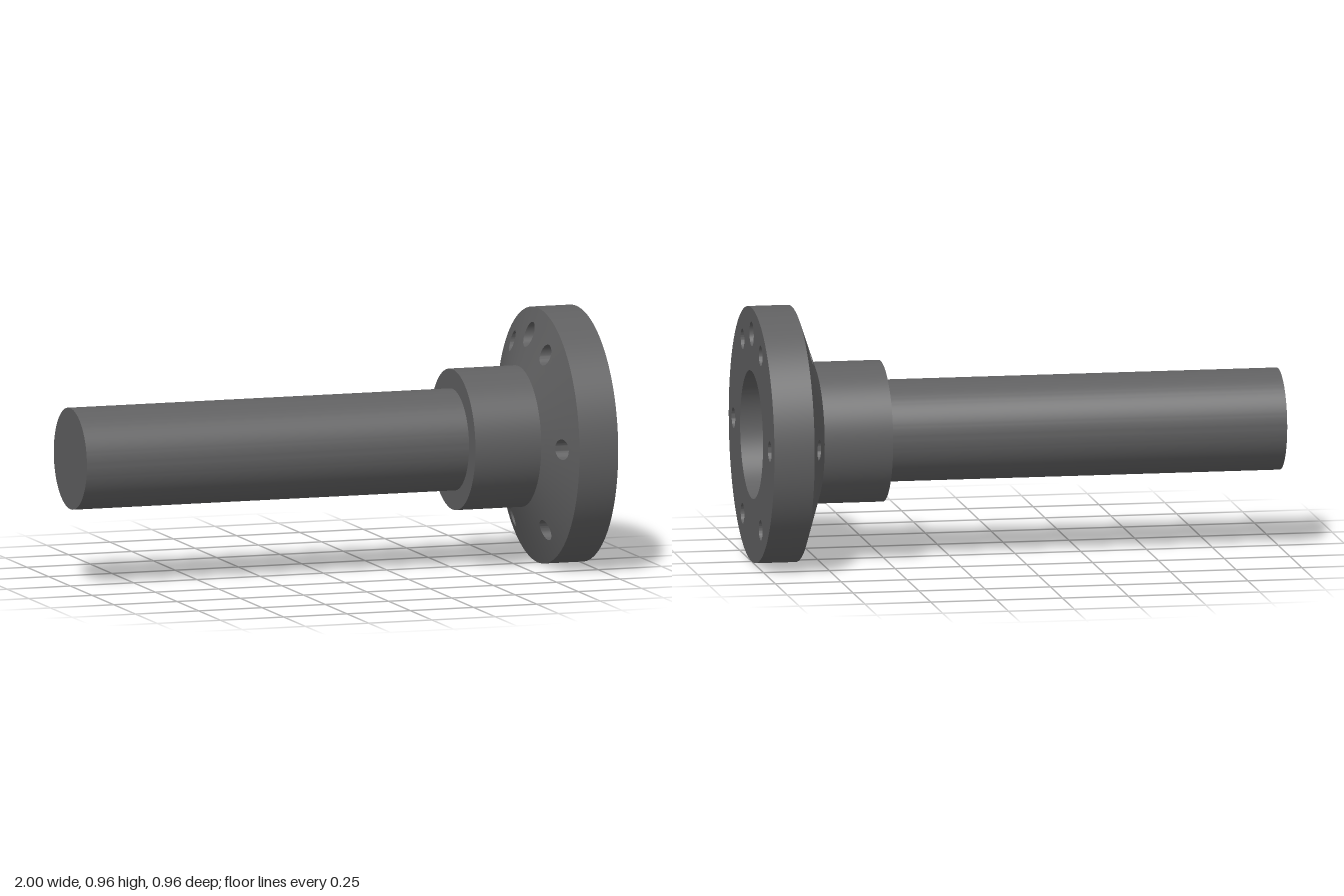
import * as THREE from 'three';
import { mergeGeometries, toCreasedNormals } from 'three/addons/utils/BufferGeometryUtils.js';

const SEGMENTS = 144;                     // 2.5 degrees each
const AXIS_Y = 0.481;
const RIM = 0.481, HUB = 0.265, SHAFT = 0.191, RECESS = 0.241;
const X = { end: -1, hub: 0.51, cone: 0.77, rim: 0.847, face: 1, recess: 0.905 };
const BOLT_CIRCLE = 0.382;
const rad = THREE.MathUtils.degToRad;

// Surface of revolution about x from [radius, x] points
function revolve(points) {
  const g = new THREE.LatheGeometry(points.map(p => new THREE.Vector2(...p)), SEGMENTS);
  g.rotateZ(-Math.PI / 2);
  g.deleteAttribute('uv');
  g.deleteAttribute('normal');
  return g;
}

// Boundary of a ring sector as [radius, angle], counter-clockwise and closed
function sectorBoundary(inner, from, to) {
  const corners = [[RIM, from], [RIM, to], [inner, to], [inner, from], [RIM, from]];
  const arc = Math.round((to - from) / rad(2.5));
  const out = [];
  for (let k = 0; k < 4; k++) {
    const n = k % 2 ? 8 : arc;
    for (let i = 0; i < n; i++) {
      out.push([0, 1].map(c => THREE.MathUtils.lerp(corners[k][c], corners[k + 1][c], i / n)));
    }
  }
  out.push(corners[4]);
  return out;
}

// Flange sector with one bolt hole: conical back, hole wall and flat front in one strip
function flangeSector(from, to, holeAngle, holeRadius) {
  const front = sectorBoundary(RECESS, from, to);
  const back = sectorBoundary(HUB, from, to);
  const hole = front.map(([r, a]) => {
    const dir = Math.atan2((a - holeAngle) * BOLT_CIRCLE, r - BOLT_CIRCLE);
    const u = BOLT_CIRCLE + holeRadius * Math.cos(dir), v = holeRadius * Math.sin(dir);
    return [Math.hypot(u, v), holeAngle + Math.atan2(v, u)];
  });
  const coneX = r => THREE.MathUtils.mapLinear(r, HUB, RIM, X.cone, X.rim);
  const steps = 6, positions = [], index = [], n = front.length;
  for (let j = 0; j < 2 * (steps + 1); j++) {
    const isBack = j <= steps;
    const t = isBack ? 1 - j / steps : (j - steps - 1) / steps;
    const edge = isBack ? back : front;
    for (let i = 0; i < n; i++) {
      const r = THREE.MathUtils.lerp(hole[i][0], edge[i][0], t);
      const a = THREE.MathUtils.lerp(hole[i][1], edge[i][1], t);
      positions.push(isBack ? coneX(r) : X.face, r * Math.cos(a), r * Math.sin(a));
      if (j > 0 && i > 0) {
        const d = j * n + i, c = d - 1, b = d - n, e = b - 1;
        index.push(e, c, d, e, d, b);
      }
    }
  }
  const g = new THREE.BufferGeometry();
  g.setAttribute('position', new THREE.Float32BufferAttribute(positions, 3));
  g.setIndex(index);
  return g;
}

export function createModel() {
  const model = new THREE.Group();
  model.name = 'flangedShaft';
  const darkSteel = new THREE.MeshStandardMaterial({ color: 0x606061 });

  const add = (name, parts) => {
    const mesh = new THREE.Mesh(toCreasedNormals(mergeGeometries(parts), 0.5), darkSteel);
    mesh.name = name;
    mesh.position.y = AXIS_Y;
    model.add(mesh);
  };

  // Long shaft with a flat end
  add('shaft', [revolve([[0, X.end], [SHAFT, X.end], [SHAFT, X.hub]])]);

  // Stepped hub collar
  add('hub', [revolve([[SHAFT, X.hub], [HUB, X.hub], [HUB, X.cone]])]);

  // Flange: [from, to, hole angle, hole radius], angles in degrees from the top
  const sectors = [[-15, 15, 0, 0.046]];
  for (const [from, to, hole] of [[15, 60, 30], [60, 120, 90], [120, 180, 150]]) {
    sectors.push([from, to, hole, 0.0385], [-to, -from, -hole, 0.0385]);
  }
  add('flange', [
    revolve([[RIM, X.rim], [RIM, X.face]]),
    ...sectors.map(([from, to, hole, r]) => flangeSector(rad(from), rad(to), rad(hole), r)),
  ]);

  // Blind round recess in the flange face
  add('recess', [revolve([[RECESS, X.face], [RECESS, X.recess], [0, X.recess]])]);

  return model;
}
